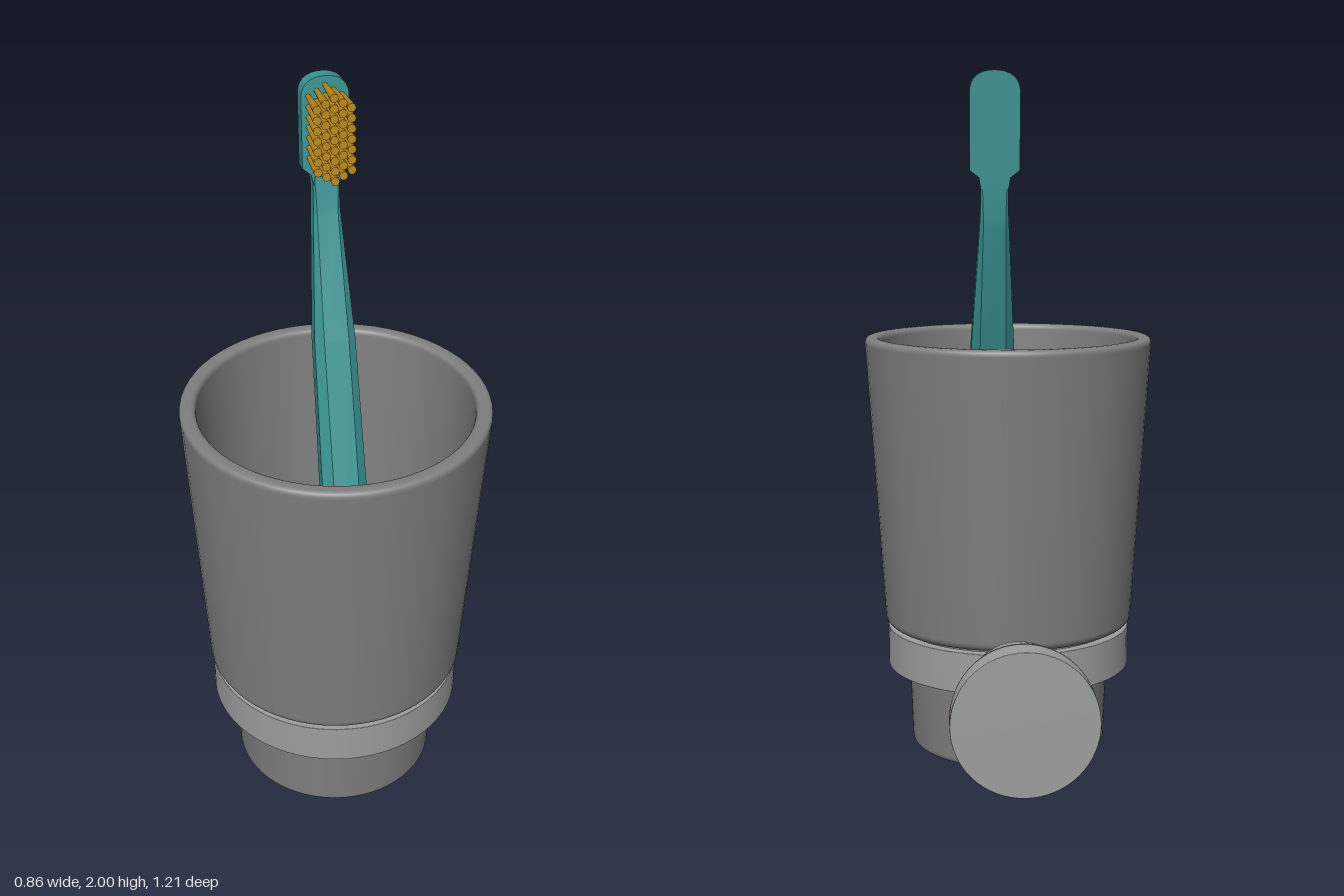
import * as THREE from 'three';
import { toCreasedNormals } from 'three/addons/utils/BufferGeometryUtils.js';

const darkGrey = new THREE.MeshStandardMaterial({ color: 0x7f7f7f });
const metalGrey = new THREE.MeshStandardMaterial({ color: 0x9b9f9d });
const teal = new THREE.MeshStandardMaterial({ color: 0x3b9393 });
const gold = new THREE.MeshStandardMaterial({ color: 0xb8871c });

function add(parent, name, geometry, material) {
  const mesh = new THREE.Mesh(geometry, material);
  mesh.name = name;
  parent.add(mesh);
  return mesh;
}

// Revolved profile of [radius, height, fillet]; filleted corners become small curves
function turned(profile, segments = 64) {
  const pts = profile.map(([r, y]) => new THREE.Vector2(r, y));
  const path = [];
  profile.forEach(([, , fillet], i) => {
    const p = pts[i];
    if (!fillet) return path.push(p);
    const toward = (q) => p.clone().add(q.clone().sub(p).setLength(fillet));
    path.push(...new THREE.QuadraticBezierCurve(toward(pts[i - 1]), p, toward(pts[i + 1])).getPoints(8));
  });
  return new THREE.LatheGeometry(path, segments);
}

// Octagonal bar through sections [y, z, half width, half depth, chamfer]
function octagonBar(sections) {
  const pos = [], index = [];
  const centres = sections.map(([y, z]) => new THREE.Vector2(z, y));
  sections.forEach(([y, z, w, d, c], i) => {
    const a = centres[Math.max(i - 1, 0)], b = centres[Math.min(i + 1, sections.length - 1)];
    const t = b.clone().sub(a).normalize(); // runs upwards; (t.y, -t.x) points to the front
    const ring = [[w, d - c], [w - c, d], [c - w, d], [-w, d - c], [-w, c - d], [c - w, -d], [w - c, -d], [w, c - d]];
    ring.forEach(([x, f]) => pos.push(x, y - t.x * f, z + t.y * f));
  });
  const last = (sections.length - 1) * 8;
  for (let s = 0; s < last; s += 8) {
    for (let k = 0; k < 8; k++) {
      const n = (k + 1) % 8;
      index.push(s + k, s + 8 + k, s + n, s + n, s + 8 + k, s + 8 + n);
    }
  }
  for (let k = 1; k < 7; k++) {
    index.push(0, k, k + 1, last, last + k + 1, last + k);
  }
  const g = new THREE.BufferGeometry();
  g.setAttribute('position', new THREE.Float32BufferAttribute(pos, 3));
  g.setIndex(index);
  return toCreasedNormals(g, 0.15);
}

function createToothbrush() {
  const brush = new THREE.Group();
  brush.name = 'toothbrush';

  // Handle widening downwards, with a bent neck
  add(brush, 'handle', octagonBar([
    [0.42, 0.133, 0.073, 0.061, 0.034],
    [1.25, -0.145, 0.06, 0.047, 0.024],
    [1.585, -0.255, 0.04, 0.031, 0.01],
    [1.62, -0.262, 0.038, 0.029, 0.008],
    [1.71, -0.274, 0.037, 0.025, 0.004],
  ]), teal);

  // Tilted head plate with a rounded tip
  const head = new THREE.Group();
  head.name = 'head';
  head.position.set(0, 1.69, -0.248);
  head.rotation.x = -0.08;
  brush.add(head);
  const outline = new THREE.Shape();
  outline.moveTo(-0.037, 0);
  outline.lineTo(0.037, 0);
  outline.lineTo(0.042, 0.03);
  outline.lineTo(0.067, 0.05);
  outline.lineTo(0.067, 0.25);
  outline.bezierCurveTo(0.067, 0.29, 0.04, 0.309, 0, 0.309);
  outline.bezierCurveTo(-0.04, 0.309, -0.067, 0.29, -0.067, 0.25);
  outline.lineTo(-0.067, 0.05);
  outline.lineTo(-0.042, 0.03);
  const plate = new THREE.ExtrudeGeometry(outline, { depth: 0.05, bevelEnabled: false, curveSegments: 10 });
  plate.translate(0, 0, -0.05);
  add(head, 'headPlate', toCreasedNormals(plate, 0.5), teal);

  // Staggered columns of bristle tufts, flaring towards the tip
  const tuft = new THREE.CylinderGeometry(0.0125, 0.007, 0.125, 8);
  tuft.rotateX(Math.PI / 2);
  tuft.translate(0, 0, 0.06);
  for (let col = -2; col <= 2; col++) {
    const odd = Math.abs(col) % 2;
    for (let row = 0; row < 9 - odd; row++) {
      if (Math.abs(col) === 2 && (row === 0 || row === 8)) continue; // rounded corners
      const y = 0.052 + (row + odd / 2) * 0.029;
      add(head, 'bristleTuft', tuft, gold).position.set(col * 0.0235, y, 0);
    }
  }
  return brush;
}

export function createModel() {
  const model = new THREE.Group();
  model.name = 'toothbrushHolder';

  // Stepped cup, hollow with a thick wall
  const cup = add(model, 'cup', turned([
    [0, 0],
    [0.294, 0, 0.02],
    [0.307, 0.375, 0.01],
    [0.373, 0.38, 0.025],
    [0.429, 1.25, 0.02],
    [0.383, 1.25, 0.018],
    [0.335, 0.44, 0.03],
    [0.265, 0.42, 0.025],
    [0.254, 0.05, 0.02],
    [0, 0.05],
  ]), darkGrey);
  cup.position.z = 0.18;

  // Carrier ring around the foot of the cup
  const ring = add(model, 'ring', turned([
    [0.335, 0.31],
    [0.335, 0.25, 0.002],
    [0.367, 0.25, 0.002],
    [0.367, 0.37, 0.002],
    [0.335, 0.37, 0.002],
    [0.335, 0.31],
  ]), metalGrey);
  ring.position.z = 0.18;

  // Stem and flared wall mount, turned to point backwards
  const stem = new THREE.CylinderGeometry(0.054, 0.054, 0.14, 32);
  stem.rotateX(-Math.PI / 2);
  add(model, 'stem', stem, metalGrey).position.set(0, 0.31, -0.235);
  const mount = turned([
    [0, 0.29],
    [0.134, 0.29, 0.025],
    [0.198, 0.53, 0.03],
    [0.198, 0.607, 0.002],
    [0, 0.607],
  ]);
  mount.rotateX(-Math.PI / 2);
  add(model, 'wallMount', mount, metalGrey).position.y = 0.31;

  const brush = createToothbrush();
  brush.position.x = 0.063;
  model.add(brush);
  return model;
}
